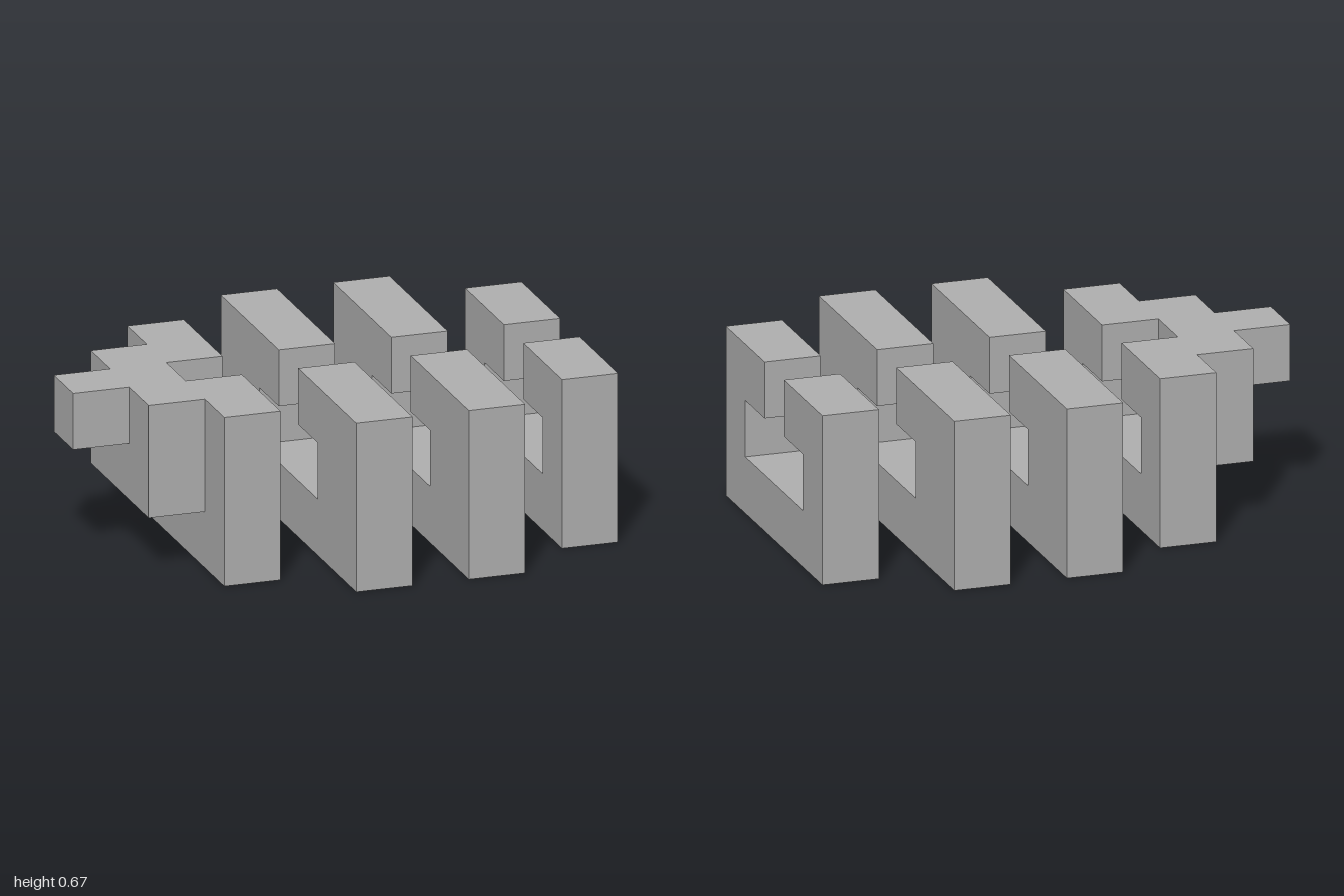
import * as THREE from 'three';

const U = 2 / 9; // one grid cell

export function createModel() {
  const model = new THREE.Group();
  const grey = new THREE.MeshStandardMaterial({ color: 0xb0b0b0 });
  grey.name = 'grey';

  const add = (name, geometry) => {
    const mesh = new THREE.Mesh(geometry, grey);
    mesh.name = name;
    model.add(mesh);
    return mesh;
  };

  // Upright slab with an inverted T slot open at the top; sizes in cells
  const addSlab = (name, startX, halfDepth) => {
    const half = [[0.5, 2], [1.5, 2], [1.5, 1], [0, 1]];
    const right = [[halfDepth, 0], [halfDepth, 3], [0.5, 3], ...half.slice(0, 3)];
    const left = right.map(([z, y]) => [-z, y]).reverse();
    const outline = [...right, ...left].map(([z, y]) => new THREE.Vector2(z * U, y * U));
    const geometry = new THREE.ExtrudeGeometry(new THREE.Shape(outline), { depth: U, bevelEnabled: false });
    geometry.rotateY(Math.PI / 2);
    add(name, geometry).position.x = startX * U;
  };

  addSlab('endSlab', 3.5, 2.5);
  addSlab('longSlabLeft', 1.5, 3.5);
  addSlab('longSlabMiddle', -0.5, 3.5);
  addSlab('backedSlab', -2.5, 2.5);

  // Stepped blocks closing off the last slab
  add('backingPlate', new THREE.BoxGeometry(U, 2 * U, 3 * U)).position.set(-3 * U, 2 * U, 0);
  add('endKnob', new THREE.BoxGeometry(U, U, U)).position.set(-4 * U, 2.5 * U, 0);

  return model;
}
